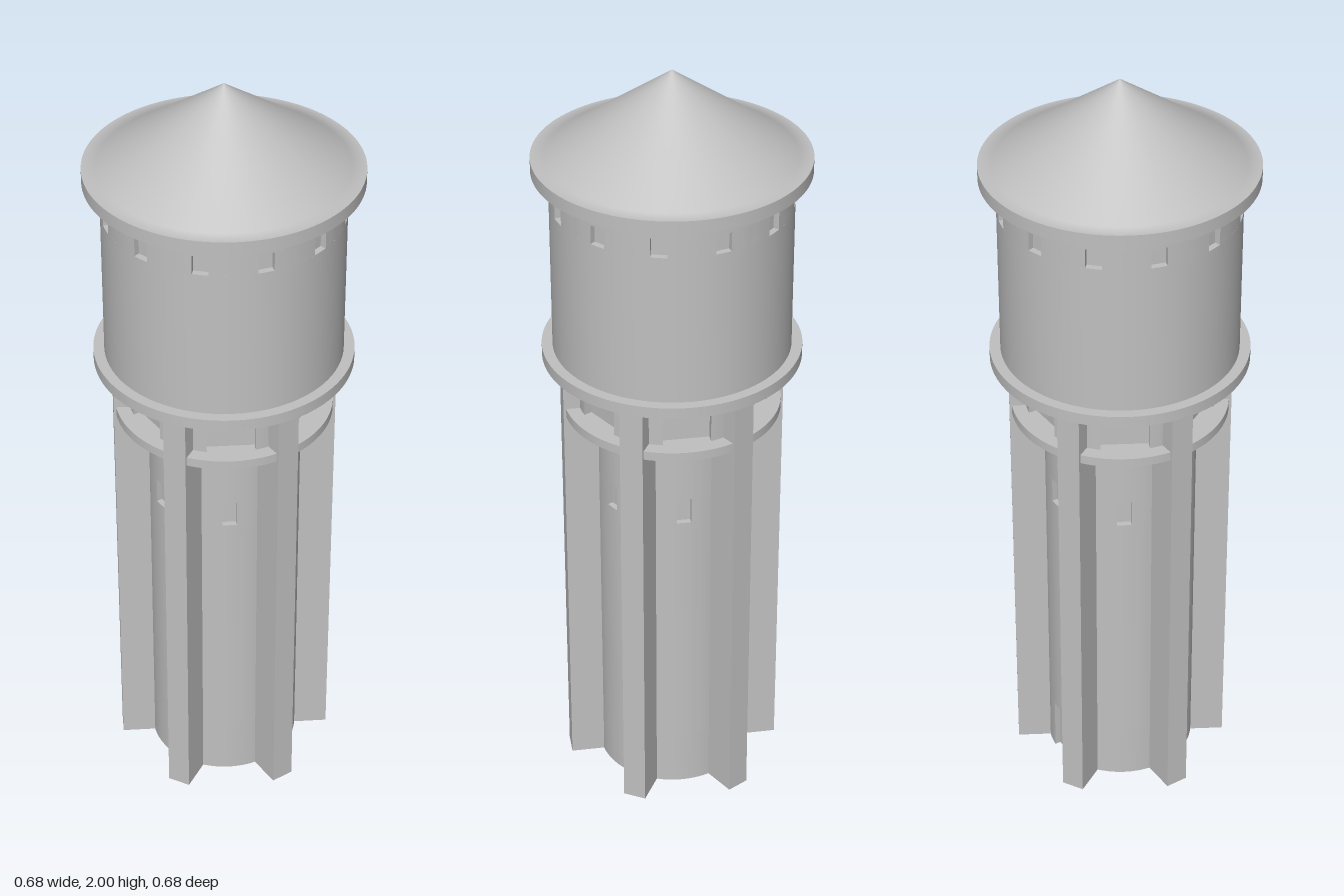
import * as THREE from 'three';
import { toCreasedNormals } from 'three/addons/utils/BufferGeometryUtils.js';

const concrete = new THREE.MeshStandardMaterial({ color: 0xc0c0c0 });
concrete.name = 'concrete';

const rad = THREE.MathUtils.degToRad;
const every = (start, step) => Array.from({ length: 360 / step }, (_, i) => rad(start + i * step));

// Round drum from y0 to y1 with flat-backed niches cut into its side.
// Angles run from the front (+z) towards +x; depth is the niche back's distance from the axis.
function drum(name, r, y0, y1, niches = [], half = 0, depth = 0) {
  const pts = [];
  const put = (radial, side, a) => pts.push(new THREE.Vector2(
    radial * Math.sin(a) + side * Math.cos(a),
    -radial * Math.cos(a) + side * Math.sin(a)));
  const arc = (from, to) => {
    const n = Math.max(2, Math.round((to - from) / rad(3)));
    for (let i = 0; i <= n; i++) put(r, 0, from + (to - from) * i / n);
  };
  if (niches.length === 0) {
    for (let i = 0; i < 120; i++) put(r, 0, rad(i * 3));
  } else {
    const b = Math.asin(half / r);
    niches.forEach((a, i) => {
      const next = i + 1 < niches.length ? niches[i + 1] : niches[0] + Math.PI * 2;
      put(depth, -half, a);
      put(depth, half, a);
      arc(a + b, next - b);
    });
  }
  const geo = new THREE.ExtrudeGeometry(new THREE.Shape(pts), { depth: y1 - y0, bevelEnabled: false });
  geo.rotateX(-Math.PI / 2);
  geo.translate(0, y0, 0);
  const mesh = new THREE.Mesh(toCreasedNormals(geo, 0.4), concrete);
  mesh.name = name;
  return mesh;
}

export function createModel() {
  const model = new THREE.Group();
  model.name = 'waterTower';
  const bays = every(30, 60);

  // Shaft, stacked in courses: door, plain wall, window band, plain wall
  const shaft = new THREE.Group();
  shaft.name = 'shaft';
  shaft.add(
    drum('doorCourse', 0.195, 0, 0.15, [rad(210)], 0.027, 0.178),
    drum('lowerWall', 0.195, 0.15, 0.84),
    drum('windowCourse', 0.195, 0.84, 0.91, bays, 0.018, 0.18),
    drum('upperWall', 0.195, 0.91, 1.09));
  model.add(shaft);

  // Six radial piers
  const piers = new THREE.Group();
  piers.name = 'piers';
  for (const a of every(0, 60)) {
    const geo = new THREE.BoxGeometry(0.06, 1.24, 0.16);
    geo.translate(0, 0.62, 0.2);
    geo.rotateY(a);
    const pier = new THREE.Mesh(geo, concrete);
    pier.name = 'pier';
    piers.add(pier);
  }
  model.add(piers);

  // Gallery with a broad recessed window in each bay
  model.add(drum('galleryLedge', 0.275, 1.08, 1.104));
  model.add(drum('galleryWall', 0.24, 1.104, 1.24, bays, 0.06, 0.211));

  // Flare under the tank, seen at the head of each recess
  const flareGeo = new THREE.CylinderGeometry(0.236, 0.196, 0.04, 96);
  flareGeo.translate(0, 1.23, 0);
  const flare = new THREE.Mesh(flareGeo, concrete);
  flare.name = 'tankFlare';
  model.add(flare);

  // Tank with a ring of twelve small niches near the top
  const tank = new THREE.Group();
  tank.name = 'tank';
  tank.add(
    drum('tankFloor', 0.325, 1.235, 1.265),
    drum('tankWall', 0.298, 1.265, 1.66),
    drum('tankWindowCourse', 0.298, 1.66, 1.71, every(15, 30), 0.02, 0.282),
    drum('tankHead', 0.298, 1.71, 1.745));
  model.add(tank);

  // Eaves and softly shaded conical roof
  model.add(drum('eaves', 0.34, 1.745, 1.779));
  const profile = [[0.34, 1.78], [0.305, 1.781], [0, 2]].map(([x, y]) => new THREE.Vector2(x, y));
  const roof = new THREE.Mesh(new THREE.LatheGeometry(profile, 120), concrete);
  roof.name = 'roof';
  model.add(roof);

  return model;
}
